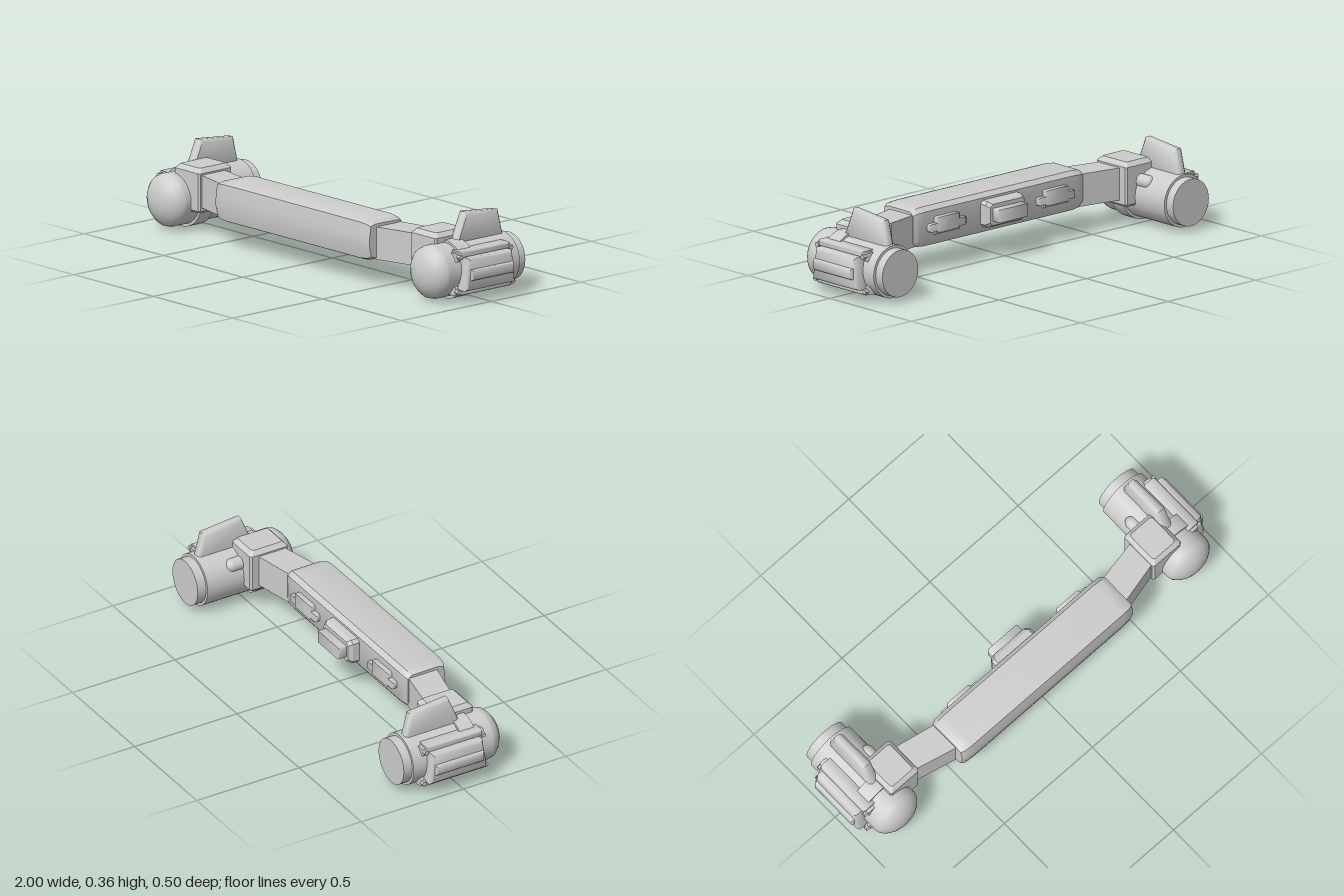
import * as THREE from 'three';
import { ConvexGeometry } from 'three/addons/geometries/ConvexGeometry.js';
import { toCreasedNormals } from 'three/addons/utils/BufferGeometryUtils.js';

const grey = new THREE.MeshStandardMaterial({ color: 0xcccccc });
grey.name = 'lightGrey';

function add(parent, name, geometry, x = 0, y = 0, z = 0) {
  const mesh = new THREE.Mesh(geometry, grey);
  mesh.name = name;
  mesh.position.set(x, y, z);
  parent.add(mesh);
}

// Convex solid from corner points, mirrored by s
const hull = (points, s = 1) =>
  new ConvexGeometry(points.map(([x, y, z]) => new THREE.Vector3(x * s, y, z)));

// Outline given as [z, y], softly bevelled and given a width along x, centred on x = 0
function plate(outline, width, bevel) {
  const shape = new THREE.Shape(outline.map(([z, y]) => new THREE.Vector2(z, y)));
  const g = new THREE.ExtrudeGeometry(shape, {
    depth: width - 2 * bevel, bevelEnabled: true, bevelSegments: 1,
    bevelSize: bevel, bevelThickness: bevel, bevelOffset: -bevel,
  });
  g.translate(0, 0, -(width / 2 - bevel));
  return toCreasedNormals(g.rotateY(-Math.PI / 2), 0.9);
}

// Box with bevelled edges, centred on the origin
function bar(width, height, depth, bevel = 0.006) {
  const h = height / 2, d = depth / 2;
  return plate([[-d, -h], [d, -h], [d, h], [-d, h]], width, bevel);
}

// Turned solid along z; each run of [radius, z] points is smooth
function turned(parent, name, runs, x, y) {
  const group = new THREE.Group();
  group.name = name;
  group.position.set(x, y, 0);
  runs.forEach((run, i) => {
    const g = new THREE.LatheGeometry(run.map(([r, z]) => new THREE.Vector2(r, z)), 32);
    add(group, name + 'Section' + i, g.rotateX(Math.PI / 2));
  });
  parent.add(group);
}

// Main beam with softened long edges and chamfered ends
function beam() {
  const points = [];
  const section = [[0.03, 0.13], [0.045, 0.11], [0.2, 0.108], [0.225, 0.118], [0.236, 0.17],
    [0.235, 0.215], [0.227, 0.273], [0.2, 0.282], [0.05, 0.28], [0.03, 0.262]];
  for (const s of [-1, 1]) {
    for (const [z, y] of section) {
      for (const [x, ky, kz] of [[0.425, 1, 1], [0.466, 0.95, 0.97], [0.485, 0.84, 0.88]]) {
        points.push([s * x, 0.195 + (y - 0.195) * ky, 0.13 + (z - 0.13) * kz]);
      }
    }
  }
  return toCreasedNormals(hull(points), 0.7);
}

// One end assembly on side s
function endUnit(s) {
  const unit = new THREE.Group();
  unit.name = s > 0 ? 'leftEnd' : 'rightEnd';
  const cx = s * 0.83, cy = 0.126;

  // Slanted arm
  const arm = [];
  for (const y of [0.115, 0.255]) {
    arm.push([0.46, y, 0.05], [0.46, y, 0.19], [0.69, y, 0.005], [0.69, y, 0.135]);
  }
  add(unit, 'arm', hull(arm, s));

  // Joint block with clipped corners and a chamfered cap
  const block = [];
  for (const [y, inset] of [[0.09, 0.008], [0.1, 0], [0.262, 0], [0.281, 0.018]]) {
    for (const dx of [-1, 1]) {
      for (const dz of [-1, 1]) {
        const x = 0.745 + dx * (0.08 - inset), z = 0.0625 + dz * (0.0925 - inset);
        block.push([x - dx * 0.008, y, z], [x, y, z - dz * 0.008]);
      }
    }
  }
  add(unit, 'jointBlock', hull(block, s));

  // Pod: rear plug, barrel, domed nose and collar
  turned(unit, 'rearPlug', [[[0, -0.25], [0.102, -0.25]], [[0.102, -0.25], [0.102, -0.205]]], cx, cy);
  turned(unit, 'barrel', [[[0.09, -0.209], [0.114, -0.209]], [[0.114, -0.209], [0.114, 0.182]]], cx, cy);
  turned(unit, 'nose', [[[0.114, 0.182], [0.109, 0.203], [0.091, 0.222], [0.066, 0.239],
    [0.035, 0.249], [0, 0.252]]], cx, cy);
  turned(unit, 'collar', [[[0.1, 0.036], [0.125, 0.036]], [[0.125, 0.036], [0.125, 0.107]],
    [[0.125, 0.107], [0.1, 0.107]]], cx, 0.125);

  // Rounded fairing behind the joint block
  const fairing = new THREE.CapsuleGeometry(0.03, 0.07, 6, 16).rotateX(Math.PI / 2);
  add(unit, 'fairing', fairing, s * 0.752, 0.193, -0.036);

  // Upright fin
  add(unit, 'fin', plate([[-0.205, 0.2], [0.085, 0.2], [0.017, 0.36], [-0.17, 0.342]], 0.048, 0.012),
    s * 0.834);

  // Outer panel with raised centre bar
  const panel = [[-0.152, 0.058], [0.127, 0.058], [0.107, 0.197], [-0.136, 0.197]];
  add(unit, 'sidePanel', plate(panel, 0.075, 0.01), s * 0.9475);
  add(unit, 'panelBar', bar(0.04, 0.046, 0.234), s * 0.98, 0.127, -0.013);

  // Rails above and below the panel, with six-sided end knobs
  for (const [y, z0, z1, step] of [[0.208, -0.152, 0.127, -0.008], [0.048, -0.163, 0.138, 0.004]]) {
    add(unit, 'rail', bar(0.065, 0.028, z1 - z0 - 0.005), s * 0.917, y, (z0 + z1) / 2);
    for (const z of [z0, z1]) {
      const knob = new THREE.CylinderGeometry(0.011, 0.011, 0.07, 6).toNonIndexed();
      knob.computeVertexNormals();
      add(unit, 'railKnob', knob.rotateZ(Math.PI / 2), s * 0.921, y + step, z);
      add(unit, 'knobSeat', bar(0.06, 0.036, 0.022), s * 0.91, y + step * 1.5, z);
    }
  }
  return unit;
}

export function createModel() {
  const model = new THREE.Group();
  model.name = 'beamAssembly';
  add(model, 'mainBeam', beam());

  // Central rear fitting: flared base and connector
  const base = [];
  for (const [z, w, h] of [[0.04, 0.112, 0.058], [0.0, 0.11, 0.056], [-0.017, 0.098, 0.046]]) {
    for (const dx of [-1, 1]) {
      for (const dy of [-1, 1]) {
        base.push([dx * w, 0.195 + dy * (h - 0.014), z], [dx * (w - 0.014), 0.195 + dy * h, z]);
      }
    }
  }
  add(model, 'rearFitting', hull(base));
  add(model, 'rearConnector', bar(0.168, 0.056, 0.05, 0.003), 0, 0.195, -0.031);

  // Rear vents either side: long bar, shorter hump and a row of teeth
  for (const s of [-1, 1]) {
    add(model, 'ventBar', bar(0.21, 0.034, 0.03), s * 0.31, 0.19, 0.025);
    add(model, 'ventHump', bar(0.13, 0.066, 0.03), s * 0.31, 0.2, 0.022);
    for (let i = 0; i < 7; i++) {
      add(model, 'ventTooth', new THREE.BoxGeometry(0.012, 0.012, 0.016), s * 0.31 + (i - 3) * 0.022, 0.164, 0.027);
    }
    model.add(endUnit(s));
  }
  return model;
}
